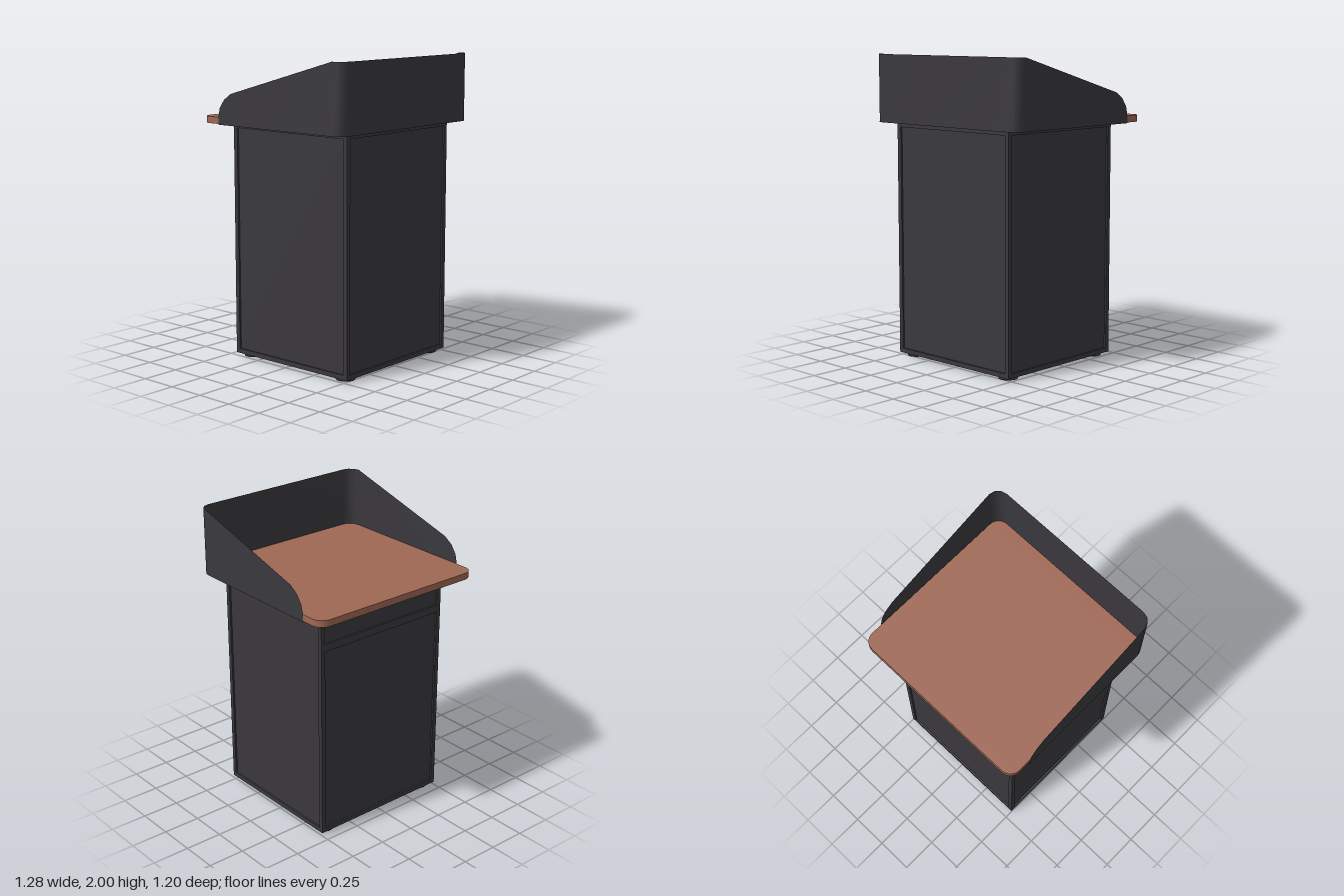
import * as THREE from 'three';
import { toCreasedNormals } from 'three/addons/utils/BufferGeometryUtils.js';

const dark = new THREE.MeshStandardMaterial({ color: 0x3a383d, side: THREE.DoubleSide });
const wood = new THREE.MeshStandardMaterial({ color: 0xa06855 });

function add(parent, name, geometry, material = dark) {
  const mesh = new THREE.Mesh(geometry, material);
  mesh.name = name;
  parent.add(mesh);
  return mesh;
}

// Box given by its minimum and maximum corners
function box(parent, name, [x0, y0, z0], [x1, y1, z1]) {
  const mesh = add(parent, name, new THREE.BoxGeometry(x1 - x0, y1 - y0, z1 - z0));
  mesh.position.set((x0 + x1) / 2, (y0 + y1) / 2, (z0 + z1) / 2);
}

// Horizontal plate with rounded front corners, and optionally rounded back corners
function plate(w, back, front, r, roundBack, thickness) {
  const rb = roundBack ? r : 0;
  const s = new THREE.Shape();
  // shape y is -z, so the front is at the bottom
  s.moveTo(-w + r, -front);
  s.lineTo(w - r, -front);
  s.absarc(w - r, -front + r, r, -Math.PI / 2, 0, false);
  s.lineTo(w, -back - rb);
  if (rb) s.absarc(w - r, -back - r, r, 0, Math.PI / 2, false);
  s.lineTo(-w + rb, -back);
  if (rb) s.absarc(-w + r, -back - r, r, Math.PI / 2, Math.PI, false);
  s.lineTo(-w, -front + r);
  s.absarc(-w + r, -front + r, r, Math.PI, Math.PI * 1.5, false);
  const g = new THREE.ExtrudeGeometry(s, { depth: thickness, bevelEnabled: false, curveSegments: 3 });
  return toCreasedNormals(g.rotateX(-Math.PI / 2), 0.7);
}

// Thin wall following the desk edge; sides slope down and curve off at the back
function hoodWall() {
  const w = 0.638, front = 0.6, r = 0.075, base = 1.557;
  const side = [[-0.445, 1.6], [-0.43, 1.665], [-0.39, 1.72], [-0.33, 1.76]];
  const half = side.map(([z, y]) => [w, y, z]);
  for (let i = 0; i <= 3; i++) {
    const a = (i / 3) * Math.PI / 2;
    half.push([w - r + r * Math.cos(a), 2, front - r + r * Math.sin(a)]);
  }
  const path = [...half, ...half.map(([x, y, z]) => [-x, y, z]).reverse()];
  const positions = [], index = [];
  path.forEach(([x, y, z], i) => {
    positions.push(x, base, z, x, y, z);
    if (i) {
      const a = 2 * (i - 1);
      index.push(a, a + 1, a + 2, a + 1, a + 3, a + 2);
    }
  });
  const g = new THREE.BufferGeometry();
  g.setAttribute('position', new THREE.Float32BufferAttribute(positions, 3));
  g.setIndex(index);
  return toCreasedNormals(g, 0.7);
}

export function createModel() {
  const model = new THREE.Group();
  model.name = 'lectern';

  // Cabinet: recessed panels inside a slim frame
  const cabinet = new THREE.Group();
  cabinet.name = 'cabinet';
  model.add(cabinet);
  const X = 0.5, Z0 = -0.445, Z1 = 0.525, Y0 = 0.02, Y1 = 1.557, f = 0.03, d = 0.012;
  box(cabinet, 'panels', [-X + d, Y0, Z0 + d], [X - d, Y1, Z1 - d]);
  for (const x of [-X, X - f])
    for (const z of [Z0, Z1 - f]) box(cabinet, 'cornerPost', [x, Y0, z], [x + f, Y1, z + f]);
  for (const y of [Y0, Y1 - f]) {
    for (const z of [Z0, Z1 - d]) box(cabinet, 'crossRail', [-X + f, y, z], [X - f, y + f, z + d]);
    for (const x of [-X, X - d]) box(cabinet, 'sideRail', [x, y, Z0 + f], [x + d, y + f, Z1 - f]);
  }
  // Rail between the drawer and the door at the back
  box(cabinet, 'drawerRail', [-X + f, 1.31, Z0], [X - f, 1.36, Z0 + d]);

  // Levelling feet
  const profile = [[0, 0], [0.062, 0], [0.062, 0.005], [0.025, 0.012], [0.015, 0.014], [0.015, 0.022]]
    .map(([x, y]) => new THREE.Vector2(x, y));
  const footGeometry = toCreasedNormals(new THREE.LatheGeometry(profile, 20), 0.5);
  for (const x of [-0.42, 0.42])
    for (const z of [-0.365, 0.445]) add(model, 'foot', footGeometry).position.set(x, 0, z);

  // Desk top with the hood around it
  add(model, 'deskTop', plate(0.634, -0.6, 0.597, 0.075, true, 0.044), wood).position.y = 1.561;
  add(model, 'hoodFloor', plate(0.638, -0.445, 0.6, 0.075, false, 0.003)).position.y = 1.557;
  add(model, 'hoodWall', hoodWall());
  return model;
}
